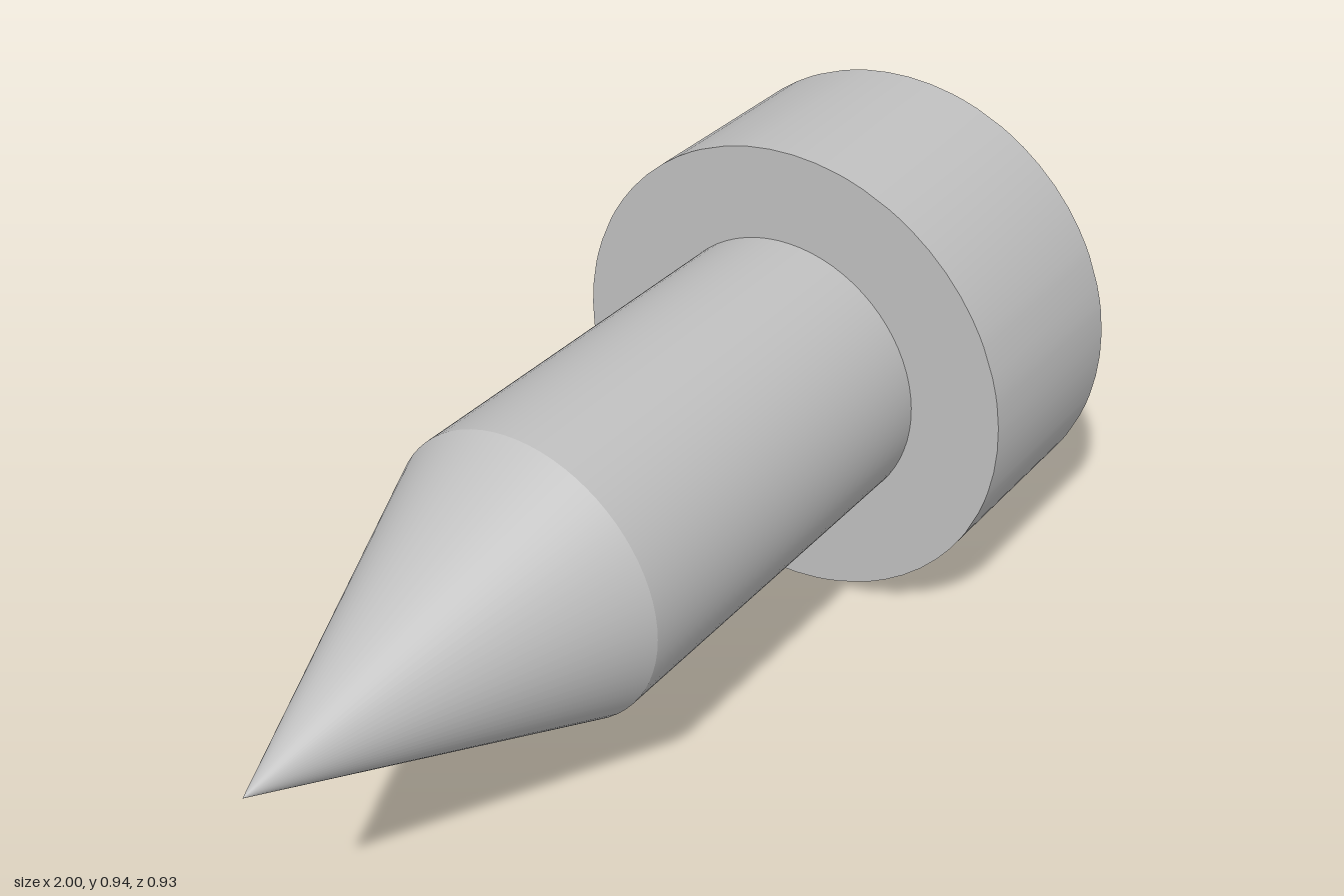
import * as THREE from 'three';
import { toCreasedNormals } from 'three/addons/utils/BufferGeometryUtils.js';

// Skin a list of closed rings, each an array of Vector3 with equal counts
function loft(rings) {
  const pos = [];
  const tri = (a, b, c) => {
    const area = b.clone().sub(a).cross(c.clone().sub(a)).length();
    if (area > 1e-9) for (const p of [a, b, c]) pos.push(p.x, p.y, p.z);
  };
  for (let k = 0; k < rings.length - 1; k++) {
    const a = rings[k], b = rings[k + 1], n = a.length;
    for (let i = 0; i < n; i++) {
      const j = (i + 1) % n;
      tri(a[i], b[i], b[j]);
      tri(a[i], b[j], a[j]);
    }
  }
  const g = new THREE.BufferGeometry();
  g.setAttribute('position', new THREE.Float32BufferAttribute(pos, 3));
  return toCreasedNormals(g, 0.3);
}

// Cross outline: arm half-length, arm half-width, inner fillet radius
function crossOutline(len, w, fillet) {
  const quarter = [];
  for (let i = 0; i < 4; i++) quarter.push([len, -w + (2 * w * i) / 4]);
  const start = w + fillet;
  for (let i = 0; i < 3; i++) quarter.push([len + ((start - len) * i) / 3, w]);
  for (let i = 0; i <= 8; i++) {
    const t = -Math.PI / 2 - (i / 8) * (Math.PI / 2);
    quarter.push([start + fillet * Math.cos(t), start + fillet * Math.sin(t)]);
  }
  for (let i = 1; i < 3; i++) quarter.push([w, start + ((len - start) * i) / 3]);
  const pts = [];
  for (let q = 0; q < 4; q++) {
    const c = Math.round(Math.cos((q * Math.PI) / 2)), s = Math.round(Math.sin((q * Math.PI) / 2));
    for (const [u, v] of quarter) pts.push([u * c - v * s, u * s + v * c]);
  }
  return pts;
}

export function createModel() {
  const steel = new THREE.MeshStandardMaterial({ color: 0xc0c0c0 });
  steel.name = 'steel grey';
  const screw = new THREE.Group();
  screw.name = 'screw';

  const R = 0.466, rimX = 0.9, apex = 1.002, floorX = 0.75;
  const h = apex - rimX, sphere = (R * R + h * h) / (2 * h);
  const domeX = r => apex - sphere + Math.sqrt(sphere * sphere - r * r);
  const at = (x, u, v) => new THREE.Vector3(x, v, -u);

  // Head: recess floor, tapered recess walls, dome, rim and underside
  const top = crossOutline(0.25, 0.053, 0.055);
  const floor = crossOutline(0.084, 0.036, 0.046);
  const rings = [
    top.map(() => at(floorX, 0, 0)),
    floor.map(([u, v]) => at(floorX, u, v)),
  ];
  for (let k = 0; k <= 8; k++) {
    rings.push(top.map(([u, v]) => {
      const r0 = Math.hypot(u, v), r = r0 + ((R - r0) * k) / 8;
      return at(domeX(r), (u / r0) * r, (v / r0) * r);
    }));
  }
  const rim = rings[rings.length - 1];
  rings.push(rim.map(p => new THREE.Vector3(0.483, p.y, p.z)));
  rings.push(rim.map(() => at(0.483, 0, 0)));
  const head = new THREE.Mesh(loft(rings), steel);
  head.name = 'head';
  screw.add(head);

  // Shank and pointed tip
  const circle = (x, r) => Array.from({ length: 72 }, (_, i) => {
    const t = (i / 72) * Math.PI * 2;
    return at(x, r * Math.cos(t), r * Math.sin(t));
  });
  const addPart = (name, ringList) => {
    const mesh = new THREE.Mesh(loft(ringList), steel);
    mesh.name = name;
    screw.add(mesh);
  };
  addPart('shank', [circle(0.484, 0.283), circle(-0.33, 0.283)]);
  addPart('tip', [circle(-0.33, 0.283), circle(-1, 0)]);

  // Rests with a very slight tilt
  screw.rotation.z = 0.0075;
  screw.position.y = 0.4635;
  const model = new THREE.Group();
  model.name = 'screwModel';
  model.add(screw);
  return model;
}
